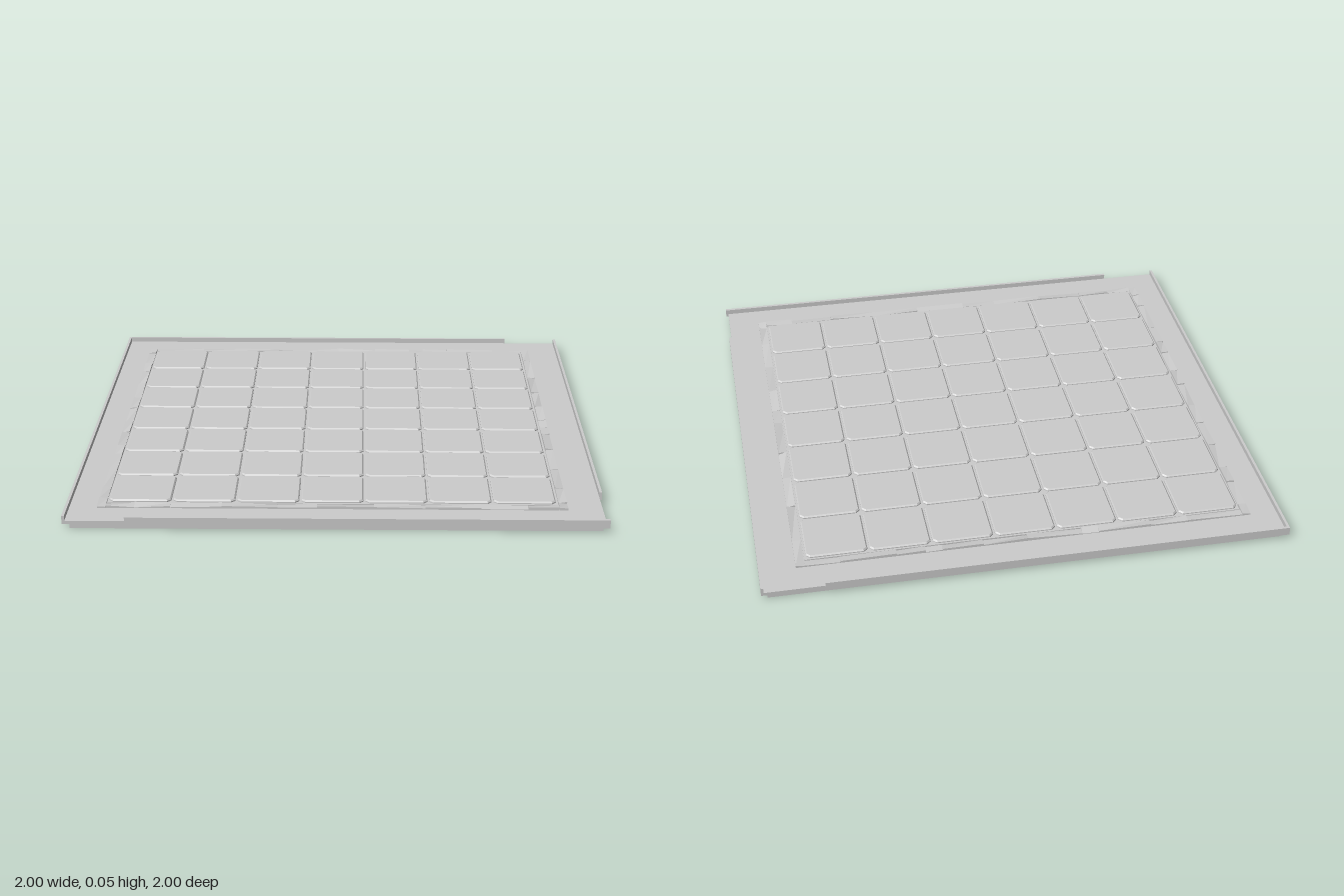
import * as THREE from 'three';

const grey = new THREE.MeshStandardMaterial({ color: 0xcccccc, flatShading: true });

// Box given by its lower and upper limits
function box(name, x0, x1, y0, y1, z0, z1) {
  const mesh = new THREE.Mesh(new THREE.BoxGeometry(x1 - x0, y1 - y0, z1 - z0), grey);
  mesh.name = name;
  mesh.position.set((x0 + x1) / 2, (y0 + y1) / 2, (z0 + z1) / 2);
  return mesh;
}

// Small repeatable number source for the broken edging
function seeded(seed) {
  return () => (seed = (seed * 16807) % 2147483647) / 2147483647;
}

// Paving tile with cut corners and a bevelled top edge
function tileGeometry(size, height, bevel) {
  const h = size / 2 - bevel, c = 0.012;
  const shape = new THREE.Shape([
    [-h + c, -h], [h - c, -h], [h, -h + c], [h, h - c],
    [h - c, h], [-h + c, h], [-h, h - c], [-h, -h + c],
  ].map(([x, y]) => new THREE.Vector2(x, y)));
  const geo = new THREE.ExtrudeGeometry(shape, {
    depth: height - bevel, bevelEnabled: true, bevelSize: bevel,
    bevelThickness: bevel, bevelSegments: 1,
  });
  return geo.rotateX(-Math.PI / 2);
}

// Stone of the edging: a block whose top slopes at random
function edgingStone(x0, x1, z0, z1, rand) {
  const stone = box('edgingStone', x0, x1, 0.024, 0.036, z0, z1);
  const p = stone.geometry.attributes.position;
  const rise = [0, 1, 2, 3].map(() => (rand() - 0.4) * 0.011);
  for (let i = 0; i < p.count; i++) {
    if (p.getY(i) < 0) continue;
    const corner = (p.getX(i) > 0 ? 1 : 0) + (p.getZ(i) > 0 ? 2 : 0);
    p.setY(i, p.getY(i) + rise[corner]);
  }
  stone.geometry.computeVertexNormals();
  return stone;
}

export function createModel() {
  const model = new THREE.Group();
  model.name = 'pavedFloorPanel';

  // Base slab and the slightly wider plate on it
  model.add(box('baseSlab', -0.972, 0.972, 0, 0.02, -0.982, 0.982));
  model.add(box('framePlate', -0.99, 0.985, 0.018, 0.03, -0.99, 0.985));

  // Raised edge lips, three of them stopping short of a corner
  model.add(box('leftLip', -1, -0.99, 0.018, 0.05, -1, 0.985));
  model.add(box('rightLip', 0.985, 0.995, 0.018, 0.05, -0.99, 0.75));
  model.add(box('backLip', -1, 0.76, 0.018, 0.05, -1, -0.99));
  model.add(box('frontLip', -0.77, 0.995, 0.018, 0.05, 0.985, 0.997));

  // Raised bed showing in the joints between the tiles
  model.add(box('tileBed', -0.853, 0.822, 0.025, 0.036, -0.837, 0.837));

  // Seven by seven paving tiles
  const tiles = new THREE.Group();
  tiles.name = 'pavingTiles';
  const geo = tileGeometry(0.231, 0.012, 0.005);
  for (let i = 0; i < 7; i++) {
    for (let j = 0; j < 7; j++) {
      const tile = new THREE.Mesh(geo, grey);
      tile.name = 'tile';
      tile.position.set(-0.016 + (i - 3) * 0.2385, 0.033, (j - 3) * 0.238);
      tiles.add(tile);
    }
  }
  model.add(tiles);

  // Uneven edging around the tiles
  const rand = seeded(71);
  const edging = new THREE.Group();
  edging.name = 'edging';
  const strips = [
    [-0.887, -0.856, -0.87, 0.87], [0.825, 0.857, -0.87, 0.87],
    [-0.855, 0.824, -0.87, -0.84], [-0.855, 0.824, 0.84, 0.87],
  ];
  for (const [x0, x1, z0, z1] of strips) {
    const alongX = x1 - x0 > z1 - z0;
    const end = alongX ? x1 : z1;
    let a = alongX ? x0 : z0;
    while (a < end - 0.001) {
      let b = a + 0.06 + rand() * 0.16;
      if (b > end - 0.05) b = end;
      edging.add(alongX ? edgingStone(a, b, z0, z1, rand) : edgingStone(x0, x1, a, b, rand));
      a = b;
    }
  }
  model.add(edging);

  return model;
}
